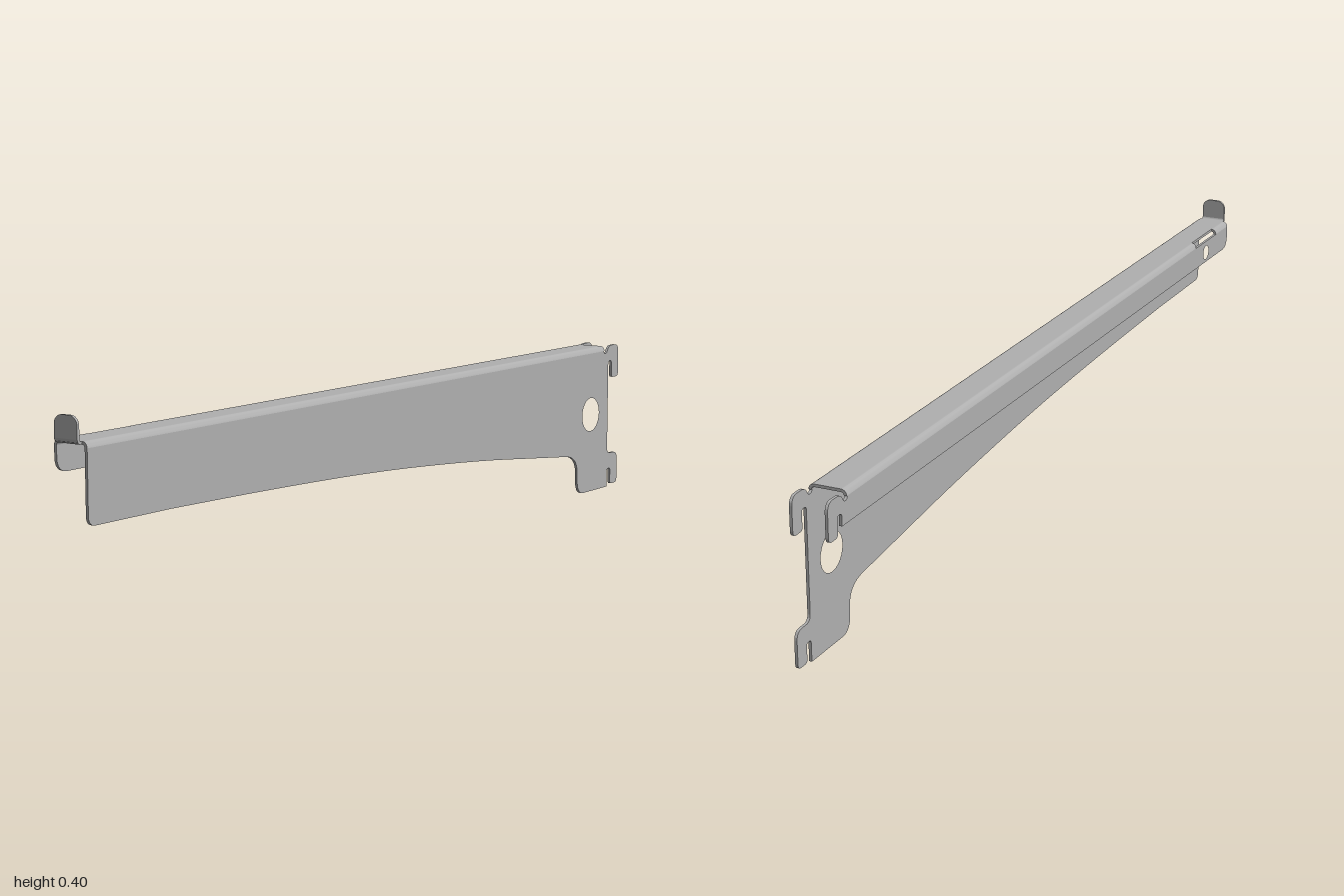
import * as THREE from 'three';
import { toCreasedNormals } from 'three/addons/utils/BufferGeometryUtils.js';

const T = 0.006;      // sheet thickness
const HALF = 0.04;    // half width
const TOP = 0.352;    // top face height
const R = 0.012;      // outer bend radius
const FRONT = 0.987, BACK = -0.93;

export function createModel() {
  const model = new THREE.Group();
  const steel = new THREE.MeshStandardMaterial({ color: 0xb0b0b0 });
  steel.name = 'grey steel';

  const extrude = (shape, depth) => toCreasedNormals(
    new THREE.ExtrudeGeometry(shape, { depth, bevelEnabled: false, curveSegments: 12 }), 0.6);
  const add = (name, geometry) => {
    const mesh = new THREE.Mesh(geometry, steel);
    mesh.name = name;
    model.add(mesh);
    return mesh;
  };
  // Extrudes a (z, y) outline along x, ending at xMax
  const addSide = (name, shape, xMax, width) =>
    add(name, extrude(shape, width).rotateY(-Math.PI / 2).translate(xMax, 0, 0));

  // Hook outline, going from the back edge's lower side up to the hook's top
  const hook = (s, top, bottom) => {
    s.lineTo(-0.95, top - 0.044);
    s.quadraticCurveTo(-0.95, top - 0.038, -0.958, top - 0.038);
    s.quadraticCurveTo(-0.966, top - 0.038, -0.966, top - 0.044);
    s.lineTo(-0.966, bottom + 0.008);
    s.quadraticCurveTo(-0.966, bottom, -0.974, bottom);
    s.lineTo(-0.988, bottom);
    s.quadraticCurveTo(-1, bottom, -1, bottom + 0.012);
    s.lineTo(-1, top - 0.02);
    s.quadraticCurveTo(-1, top, -0.98, top);
    s.lineTo(-0.966, top);
  };
  // Upper hook, relief notch and straight bend line back to the front edge
  const upperEdge = (s) => {
    hook(s, TOP, 0.272);
    s.quadraticCurveTo(-0.951, TOP, -0.944, 0.339);
    s.quadraticCurveTo(-0.938, 0.33, -0.93, 0.335);
    s.lineTo(-0.926, TOP - R);
    s.lineTo(FRONT, TOP - R);
  };

  // Deep side plate with curved lower edge, foot and two hooks
  const plate = new THREE.Shape();
  plate.moveTo(FRONT, 0.215);
  plate.quadraticCurveTo(FRONT, 0.195, 0.967, 0.195);
  plate.lineTo(0.75, 0.194);
  plate.splineThru([[0.46, 0.187], [0.2, 0.178], [0, 0.168], [-0.2, 0.154],
    [-0.4, 0.137], [-0.6, 0.116], [-0.75, 0.1]].map(([z, y]) => new THREE.Vector2(z, y)));
  plate.bezierCurveTo(-0.785, 0.096, -0.803, 0.08, -0.803, 0.05);
  plate.lineTo(-0.803, 0.032);
  plate.quadraticCurveTo(-0.805, 0, -0.835, 0);
  plate.lineTo(-0.95, 0);
  hook(plate, 0.083, 0.005);
  plate.quadraticCurveTo(-0.95, 0.083, -0.95, 0.098);
  upperEdge(plate);
  const eye = new THREE.Path();
  eye.absarc(-0.865, 0.19, 0.041, 0, Math.PI * 2, true);
  plate.holes.push(eye);
  addSide('deepSidePlate', plate, HALF, T);

  // Shallow flange on the other side with one hook and a small hole
  const flange = new THREE.Shape();
  flange.moveTo(FRONT, 0.318);
  flange.quadraticCurveTo(FRONT, 0.288, 0.957, 0.288);
  flange.lineTo(-0.95, 0.288);
  upperEdge(flange);
  const pin = new THREE.Path();
  pin.absarc(0.845, 0.312, 0.017, 0, Math.PI * 2, true);
  flange.holes.push(pin);
  addSide('shallowFlange', flange, -HALF + T, T);

  // Flat top
  const inner = HALF - R;
  add('topPlate', new THREE.BoxGeometry(inner * 2, T, FRONT - BACK))
    .position.set(0, TOP - T / 2, (FRONT + BACK) / 2);

  // Rounded bends joining top and sides; the flange side is slotted near the front
  const bend = (name, side, z0, z1) => {
    const s = new THREE.Shape();
    const a = side > 0 ? 0 : Math.PI / 2;
    s.absarc(side * inner, TOP - R, R, a, a + Math.PI / 2, false);
    s.absarc(side * inner, TOP - R, R - T, a + Math.PI / 2, a, true);
    add(name, extrude(s, z1 - z0).translate(0, 0, z0));
  };
  bend('deepSideBend', 1, BACK, FRONT);
  bend('flangeBendRear', -1, BACK, 0.78);
  bend('flangeBendFront', -1, 0.91, FRONT);

  // Upturned front stop: curved foot and round-cornered tab
  const foot = new THREE.Shape();
  foot.moveTo(FRONT - 0.002, TOP - T);
  foot.absarc(0.99, TOP + 0.004, 0.01, -Math.PI / 2, 0, false);
  foot.absarc(0.99, TOP + 0.004, 0.004, 0, -Math.PI / 2, true);
  foot.lineTo(FRONT - 0.002, TOP);
  addSide('stopBend', foot, inner, inner * 2);

  const tab = new THREE.Shape();
  const r = 0.019, tabTop = 0.4;
  tab.moveTo(-inner, TOP + 0.004);
  tab.lineTo(inner, TOP + 0.004);
  tab.absarc(inner - r, tabTop - r, r, 0, Math.PI / 2, false);
  tab.absarc(-inner + r, tabTop - r, r, Math.PI / 2, Math.PI, false);
  add('frontStop', extrude(tab, T).translate(0, 0, 1 - T));

  return model;
}
